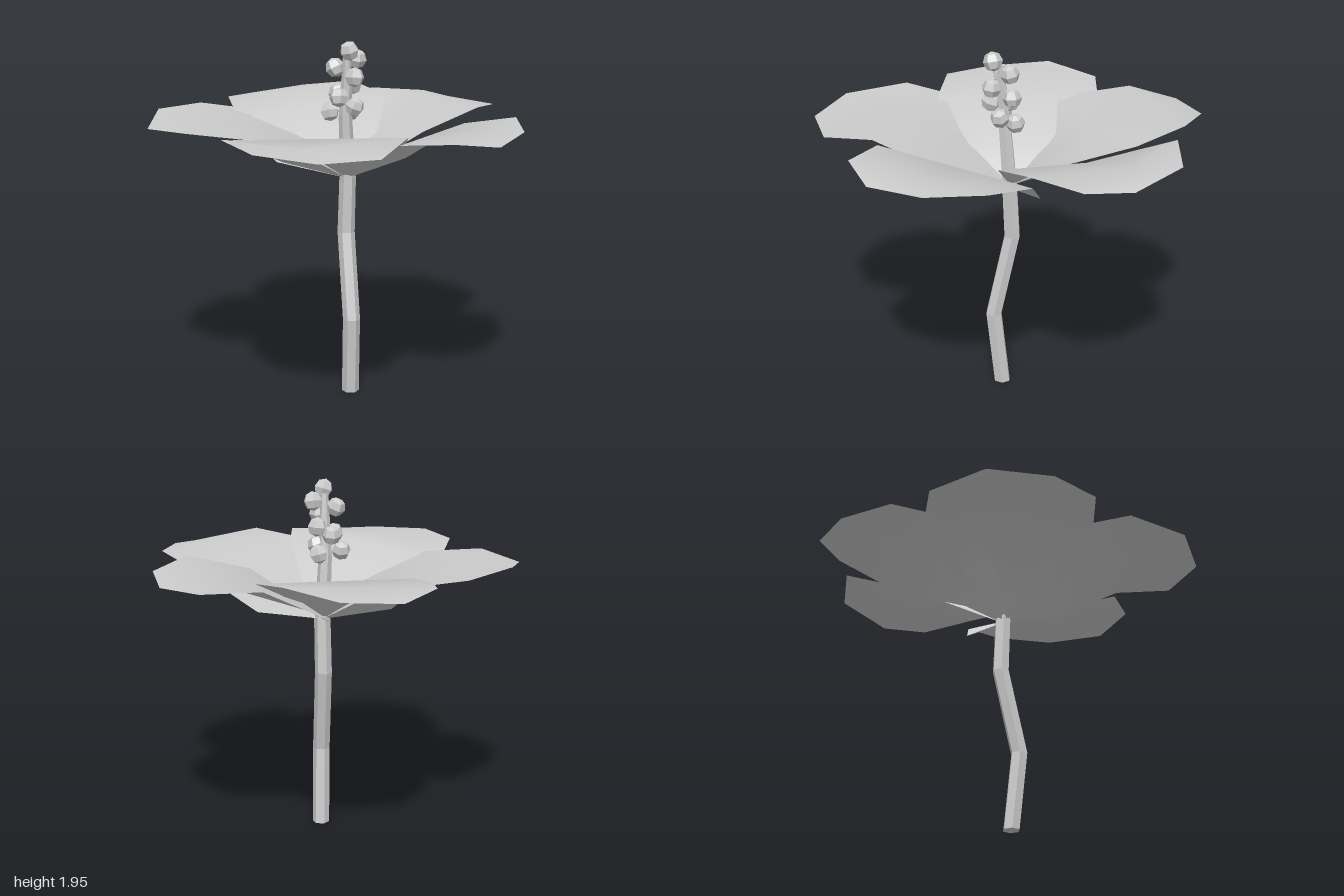
import * as THREE from 'three';

const material = new THREE.MeshStandardMaterial({ color: 0xcccccc, flatShading: true });
const thin = new THREE.MeshStandardMaterial({ color: 0xcccccc, side: THREE.DoubleSide });

// Six-sided rod whose rings follow [x, y, z, radius] stations, bottom to top
function bentRod(name, stations) {
  const last = stations.length - 1;
  const geo = new THREE.CylinderGeometry(1, 1, last, 6, last);
  const p = geo.attributes.position;
  for (let i = 0; i < p.count; i++) {
    const [x, y, z, r] = stations[Math.round(p.getY(i) + last / 2)];
    p.setXYZ(i, x + p.getX(i) * r, y, z + p.getZ(i) * r);
  }
  geo.computeVertexNormals();
  const mesh = new THREE.Mesh(geo, material);
  mesh.name = name;
  return mesh;
}

// Petal: a strip of rows from the base to the tip, each row an edge point,
// a middle point and the opposite edge point
function petal(base, rim) {
  const positions = [...base];
  const rows = rim.length / 2;
  const index = [0, 1, 2, 0, 2, 3];
  for (let i = 0; i < rows; i++) {
    const a = rim[i], b = rim[rim.length - 1 - i];
    positions.push(...a, ...a.map((v, k) => (v + b[k]) / 2), ...b);
    if (i === rows - 1) break;
    const n = 1 + i * 3;
    // diagonals mirrored about the middle line
    index.push(n, n + 3, n + 4, n, n + 4, n + 1, n + 1, n + 4, n + 2, n + 2, n + 4, n + 5);
  }
  const geo = new THREE.BufferGeometry();
  geo.setAttribute('position', new THREE.Float32BufferAttribute(positions, 3));
  geo.setIndex(index);
  geo.computeVertexNormals();
  const mesh = new THREE.Mesh(geo, thin);
  mesh.name = 'petal';
  return mesh;
}

export function createModel() {
  const flower = new THREE.Group();
  flower.name = 'flower';

  // Kinked stem and the thinner column above it
  flower.add(bentRod('stem', [
    [0, 0, 0.09, 0.047], [-0.02, 0.43, 0.13, 0.047], [0.01, 0.9, 0.03, 0.047], [0.01, 1.21, 0.045, 0.045],
  ]));
  flower.add(bentRod('column', [
    [0.01, 1.21, 0.045, 0.043], [-0.015, 1.55, 0.06, 0.036], [-0.02, 1.88, 0.085, 0.022],
  ]));

  // Rim of each petal, up one edge, across the tip and back down the other
  const petals = new THREE.Group();
  petals.name = 'petals';
  const rims = [
    // back
    [[-0.29, 1.28, -0.2], [-0.39, 1.49, -0.43], [-0.225, 1.54, -0.85], [0.03, 1.52, -1],
      [0.345, 1.545, -0.95], [0.54, 1.585, -0.71], [0.565, 1.54, -0.4], [0.32, 1.4, -0.13]],
    // back right
    [[-0.3, 1.36, 0.205], [-0.66, 1.5, 0.15], [-0.92, 1.53, -0.04], [-0.98, 1.51, -0.355],
      [-0.775, 1.555, -0.635], [-0.45, 1.54, -0.76], [-0.2, 1.5, -0.63], [-0.02, 1.37, -0.33]],
    // front right
    [[0.06, 1.38, 0.46], [-0.115, 1.56, 0.78], [-0.385, 1.51, 0.94], [-0.695, 1.51, 0.87],
      [-0.895, 1.53, 0.6], [-0.87, 1.54, 0.24], [-0.69, 1.48, 0.01], [-0.36, 1.32, -0.02]],
    // front left
    [[-0.14, 1.36, 0.42], [-0.14, 1.515, 0.74], [0.035, 1.54, 0.975], [0.295, 1.5, 0.99],
      [0.585, 1.52, 0.825], [0.75, 1.54, 0.555], [0.64, 1.47, 0.25], [0.38, 1.27, 0.06]],
    // left
    [[0.335, 1.46, 0.285], [0.69, 1.56, 0.3], [0.935, 1.53, 0.13], [0.98, 1.5, -0.13],
      [0.885, 1.53, -0.47], [0.61, 1.55, -0.62], [0.36, 1.42, -0.55], [0.1, 1.27, -0.29]],
  ];
  for (const rim of rims) petals.add(petal([0.01, 1.2, 0.04], rim));
  flower.add(petals);

  // Faceted anthers clustered around the column
  const anthers = new THREE.Group();
  anthers.name = 'anthers';
  const bead = new THREE.SphereGeometry(0.053, 6, 4);
  const spots = [
    [-0.03, 1.903, 0.12], [0.055, 1.848, 0.065], [-0.07, 1.81, 0.045], [-0.01, 1.765, 0.14],
    [0.04, 1.71, 0.045], [-0.085, 1.66, 0.105], [-0.03, 1.665, 0.012], [0.015, 1.6, 0.105],
    [-0.095, 1.575, 0.03], [0.04, 1.565, 0.025],
  ];
  spots.forEach((spot, i) => {
    const mesh = new THREE.Mesh(bead, material);
    mesh.name = 'anther';
    mesh.position.set(...spot);
    mesh.rotation.set(0.3 * Math.sin(i * 2.1), i * 1.3, 0.3 * Math.cos(i * 1.7));
    anthers.add(mesh);
  });
  flower.add(anthers);
  return flower;
}
